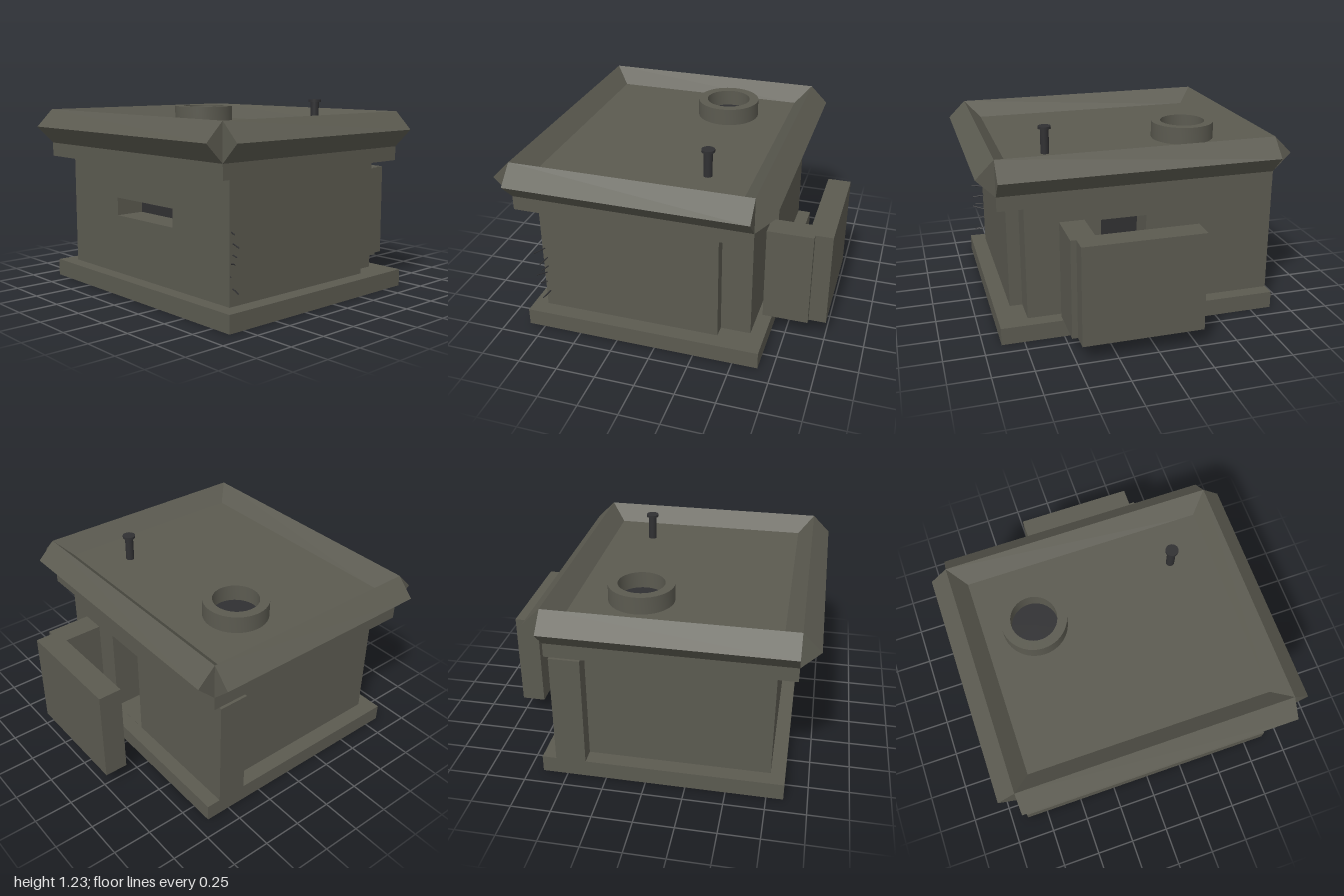
import * as THREE from 'three';
import { toCreasedNormals } from 'three/addons/utils/BufferGeometryUtils.js';

export function createModel() {
  const model = new THREE.Group();
  model.name = 'bunker';

  const concrete = new THREE.MeshStandardMaterial({ color: 0x5b5a50 });
  concrete.name = 'concrete';
  const dark = new THREE.MeshStandardMaterial({ color: 0x303032 });
  dark.name = 'dark steel';

  function add(name, geometry, material = concrete, parent = model) {
    const mesh = new THREE.Mesh(geometry, material);
    mesh.name = name;
    parent.add(mesh);
    return mesh;
  }

  // Box given by its limits on each axis
  function block(name, [x0, x1], [y0, y1], [z0, z1], material) {
    const mesh = add(name, new THREE.BoxGeometry(x1 - x0, y1 - y0, z1 - z0), material);
    mesh.position.set((x0 + x1) / 2, (y0 + y1) / 2, (z0 + z1) / 2);
    return mesh;
  }

  function rectangle(Type, x0, x1, y0, y1) {
    return new Type([[x0, y0], [x1, y0], [x1, y1], [x0, y1]].map(p => new THREE.Vector2(...p)));
  }

  // Thick wall along x with one rectangular opening
  function piercedWall(name, outline, opening, z0, z1) {
    const shape = rectangle(THREE.Shape, ...outline);
    shape.holes.push(rectangle(THREE.Path, ...opening));
    const geometry = new THREE.ExtrudeGeometry(shape, { depth: z1 - z0, bevelEnabled: false });
    add(name, geometry).position.z = z0;
  }

  const base = 0.11, eave = 0.84, deck = 1.055;

  // Foundation and walls
  block('foundation', [-0.89, 0.89], [0, base], [-0.66, 0.855]);
  piercedWall('frontWall', [-0.79, 0.79, base, eave], [-0.285, 0.285, 0.49, 0.605], 0.575, 0.765);
  piercedWall('backWall', [-0.89, 0.71, base, eave], [-0.05, 0.24, base + 0.002, 0.71], -0.57, -0.38);
  for (const [name, x0, x1] of [['rightWall', -0.79, -0.6], ['leftWall', 0.6, 0.79]]) {
    block(name, [x0, x1], [base, eave], [-0.38, 0.575]);
  }
  block('darkInterior', [-0.6, 0.6], [base, eave], [-0.38, 0.575], dark);

  // Blast wall shielding the rear doorway
  block('blastWallReturn', [0.35, 0.505], [base, 0.735], [-0.89, -0.6]);
  block('blastWallPanel', [-0.285, 0.47], [base, 0.735], [-1, -0.85]);

  // Roof slab with a diamond-section rim
  const roofX = 0.872, roofBack = -0.605, roofFront = 0.885, rim = 0.113;
  block('roofSlab', [-roofX, roofX], [eave, deck], [roofBack, roofFront]);
  function rimBeam(name, length, x, z, alongX) {
    const geometry = toCreasedNormals(new THREE.CylinderGeometry(rim, rim, length, 4), 0.5);
    if (alongX) geometry.rotateZ(Math.PI / 2);
    else geometry.rotateX(Math.PI / 2);
    add(name, geometry).position.set(x, 1.043, z);
  }
  const midZ = (roofBack + roofFront) / 2;
  rimBeam('frontRim', 2 * roofX, 0, roofFront, true);
  rimBeam('backRim', 2 * roofX, 0, roofBack, true);
  rimBeam('leftRim', roofFront - roofBack, roofX, midZ, false);
  rimBeam('rightRim', roofFront - roofBack, -roofX, midZ, false);

  // Roof hatch ring with a dark floor
  const hatch = new THREE.Group();
  hatch.name = 'hatch';
  hatch.position.set(-0.447, deck, -0.1);
  model.add(hatch);
  const ring = [[0.205, 0], [0.205, 0.11], [0.145, 0.11], [0.145, 0]].map(p => new THREE.Vector2(...p));
  add('hatchRing', toCreasedNormals(new THREE.LatheGeometry(ring, 40), 0.6), concrete, hatch);
  const floor = add('hatchFloor', new THREE.CylinderGeometry(0.146, 0.146, 0.006, 40), dark, hatch);
  floor.position.y = 0.003;

  // Vent pipe with a flat cap
  const vent = new THREE.Group();
  vent.name = 'vent';
  vent.position.set(0.505, deck, -0.23);
  model.add(vent);
  add('ventPipe', new THREE.CylinderGeometry(0.027, 0.027, 0.16, 20), dark, vent).position.y = 0.08;
  add('ventCap', new THREE.CylinderGeometry(0.041, 0.041, 0.016, 20), dark, vent).position.y = 0.167;

  // Bent reinforcing rods at the front corner: root y, root z, tip x, tip y, tip z
  const rods = [
    [0.535, 0.745, 0.865, 0.535, 0.79],
    [0.47, 0.735, 0.865, 0.457, 0.757],
    [0.405, 0.735, 0.848, 0.402, 0.757],
    [0.353, 0.745, 0.865, 0.373, 0.787],
    [0.284, 0.75, 0.825, 0.289, 0.787],
    [0.215, 0.737, 0.862, 0.2, 0.76],
  ];
  for (const [y, z, tipX, tipY, tipZ] of rods) {
    const path = new THREE.LineCurve3(new THREE.Vector3(0.78, y, z), new THREE.Vector3(tipX, tipY, tipZ));
    add('reinforcingRod', new THREE.TubeGeometry(path, 1, 0.004, 6), dark);
  }

  return model;
}
